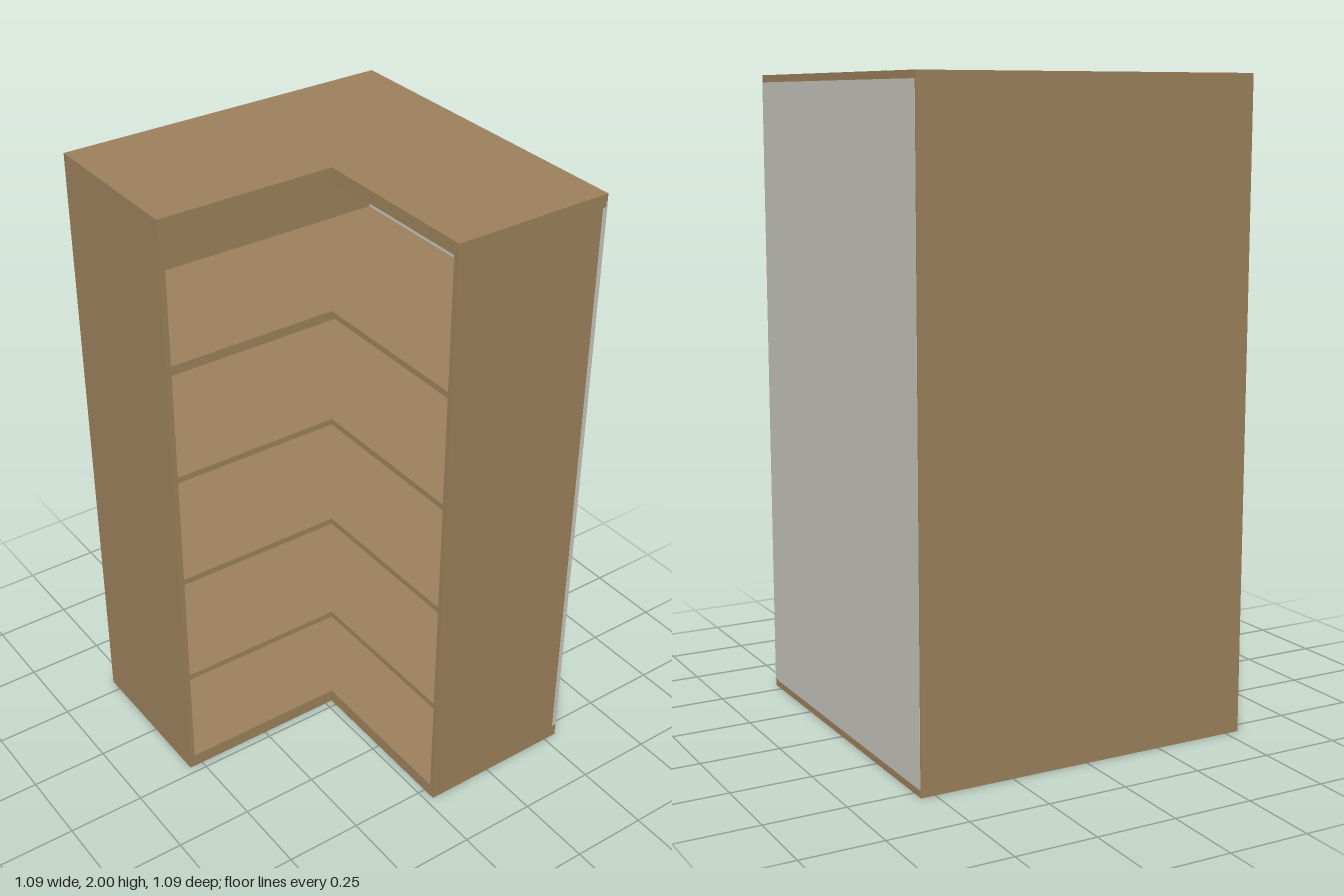
import * as THREE from 'three';

const H = 0.545;      // half width of the cabinet
const IN = -0.025;    // open front plane of both wings
const T = 0.018;      // panel thickness
const BACK = 0.015;   // back board thickness
const FLOOR = 0.045, CEIL = 1.96;

export function createModel() {
  const group = new THREE.Group();
  const wood = new THREE.MeshStandardMaterial({ color: 0x9b805b });
  wood.name = 'wood';
  const board = new THREE.MeshStandardMaterial({ color: 0xc5c4bd });
  board.name = 'pale back board';

  function add(name, geometry, material = wood) {
    const mesh = new THREE.Mesh(geometry, material);
    mesh.name = name;
    group.add(mesh);
    return mesh;
  }

  // Box given by its two opposite corners
  function box(name, [x0, y0, z0], [x1, y1, z1], material) {
    add(name, new THREE.BoxGeometry(x1 - x0, y1 - y0, z1 - z0), material)
      .position.set((x0 + x1) / 2, (y0 + y1) / 2, (z0 + z1) / 2);
  }

  // L-shaped horizontal board between two heights
  function slab(name, y0, y1, left, right, back, front) {
    const outline = [[left, back], [right, back], [right, IN], [IN, IN], [IN, front], [left, front]];
    const shape = new THREE.Shape(outline.map(([x, z]) => new THREE.Vector2(x, -z)));
    const geometry = new THREE.ExtrudeGeometry(shape, { depth: y1 - y0, bevelEnabled: false });
    geometry.rotateX(-Math.PI / 2);
    add(name, geometry).position.y = y0;
  }

  // Base, top and shelves
  slab('base', 0, FLOOR, -H, H, -H, H);
  slab('top', CEIL, 2, -H, H, -H, H);
  [0.375, 0.76, 1.14, 1.52].forEach((y, i) =>
    slab('shelf' + (i + 1), y, y + 0.02, -H + T, H - T, -H + BACK, H - T));

  // Upright panels
  box('longSidePanel', [-H, FLOOR, -H], [-H + T, CEIL, H]);
  box('wingEndPanel', [H - T, FLOOR, -H + BACK], [H, CEIL, IN]);
  box('frontEndPanel', [-H + T, FLOOR, H - T], [IN, CEIL, H]);

  // Back board, laid just over the edges of base and top
  box('backBoard', [-H + 0.004, 0.022, -H - 0.001], [H, 1.978, -H + BACK], board);

  // Hanging rail with two posts and ceiling mounts
  const railZ = -0.285;
  const rail = add('hangingRail', new THREE.CylinderGeometry(0.013, 0.013, 0.49, 24));
  rail.rotation.z = Math.PI / 2;
  rail.position.set(0.247, 1.768, railZ);
  for (const x of [0.03, 0.465]) {
    add('railPost', new THREE.CylinderGeometry(0.006, 0.006, 0.185, 16))
      .position.set(x, 1.8665, railZ);
    add('railMount', new THREE.CylinderGeometry(0.025, 0.02, 0.007, 24))
      .position.set(x, 1.9565, railZ);
  }
  return group;
}
